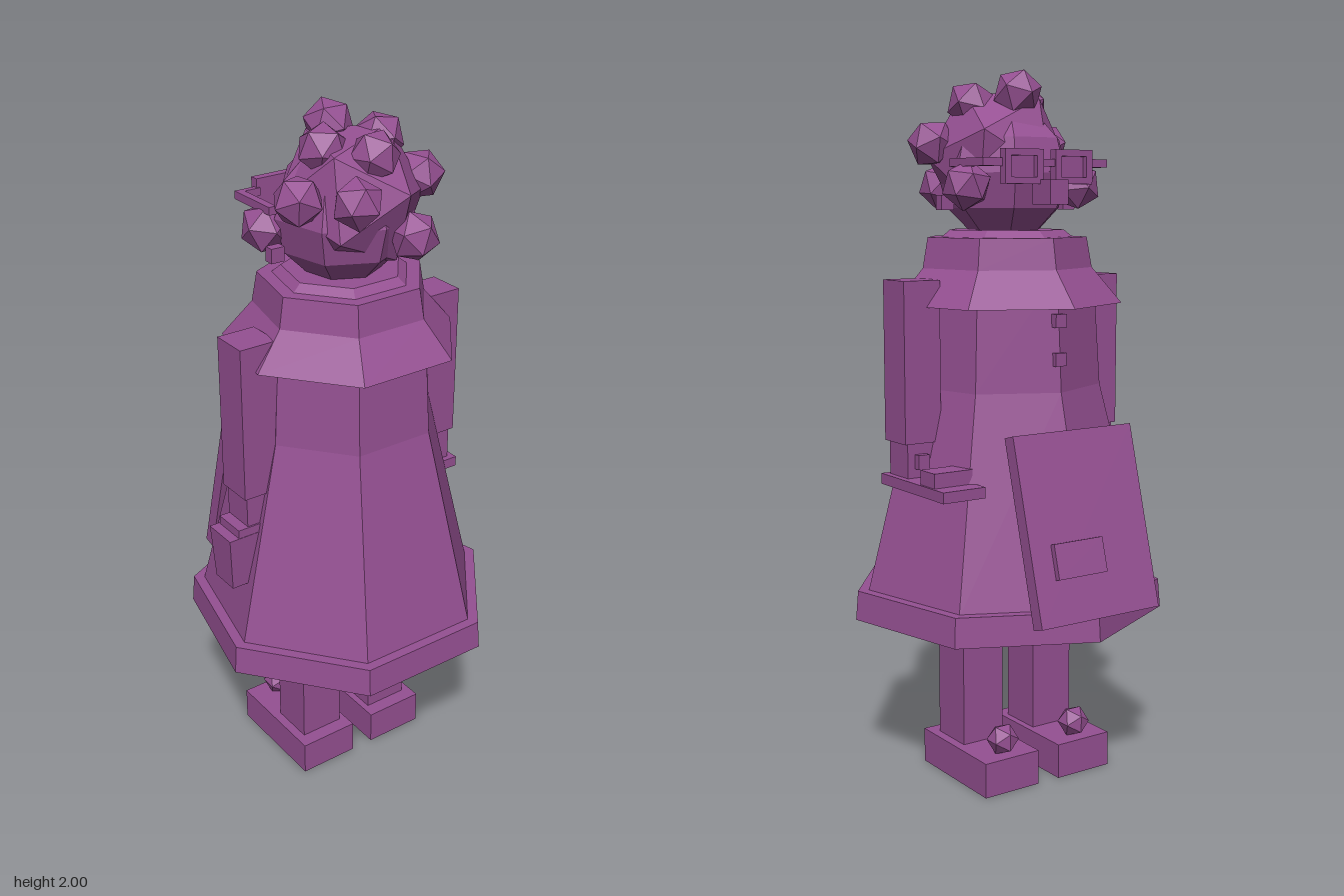
import * as THREE from 'three';

export function createModel() {
  const model = new THREE.Group();
  const plum = new THREE.MeshStandardMaterial({ color: 0x955092 });
  plum.name = 'plum';

  const add = (name, geometry, x, y, z, parent = model) => {
    let g = geometry.index ? geometry.toNonIndexed() : geometry;
    g.computeVertexNormals(); // faceted normals
    const mesh = new THREE.Mesh(g, plum);
    mesh.name = name;
    mesh.position.set(x, y, z);
    parent.add(mesh);
    return mesh;
  };
  // Box given by its x, y and z ranges
  const box = (name, [x0, x1], [y0, y1], [z0, z1], parent) =>
    add(name, new THREE.BoxGeometry(x1 - x0, y1 - y0, z1 - z0), (x0 + x1) / 2, (y0 + y1) / 2, (z0 + z1) / 2, parent);
  // Seven-sided ring with one corner toward the face side (-z)
  const ring = (name, rTop, rBottom, y0, y1) =>
    add(name, new THREE.CylinderGeometry(rTop, rBottom, y1 - y0, 7, 1, false, Math.PI), 0, (y0 + y1) / 2, 0.025);

  // Dress and cape
  ring('hem', 0.446, 0.453, 0.475, 0.558);
  ring('skirt', 0.27, 0.416, 0.55, 1.13);
  ring('bodice', 0.25, 0.27, 1.13, 1.45);
  ring('capeFlare', 0.245, 0.33, 1.36, 1.46);
  ring('capeShoulders', 0.23, 0.245, 1.46, 1.545);
  ring('collar', 0.165, 0.19, 1.545, 1.565);
  for (const y of [1.22, 1.325]) box('button', [-0.018, 0.018], [y - 0.018, y + 0.018], [-0.245, -0.205]);

  // Legs, shoes and pompoms
  for (const s of [-1, 1]) {
    const span = (a, b) => (s > 0 ? [a, b] : [-b, -a]);
    box('leg', span(0.055, 0.188), [0.09, 0.49], [-0.04, 0.092]);
    box('shoe', span(0.035, 0.215), [0, 0.1], [-0.195, 0.135]);
    add('pompom', new THREE.IcosahedronGeometry(0.046, 0), s * 0.125, 0.138, -0.145);
    // Arms and hands
    box('arm', span(0.25, 0.363), [0.99, 1.433], [-0.028, 0.083]);
    box('hand', span(0.262, 0.353), [0.885, 0.99], [-0.022, 0.075]);
    box('thumb', span(0.295, 0.33), [0.92, 0.96], [-0.042, -0.02]);
    // Earrings and spectacles
    box('earring', span(0.185, 0.225), [1.62, 1.66], [0, 0.028]);
    box('spectacleArm', span(0.183, 0.205), [1.735, 1.757], [-0.165, -0.01]);
    const rim = new THREE.Shape([[-0.062, -0.046], [0.062, -0.046], [0.062, 0.046], [-0.062, 0.046]].map(p => new THREE.Vector2(...p)));
    rim.holes.push(new THREE.Path([[-0.042, -0.028], [-0.042, 0.028], [0.042, 0.028], [0.042, -0.028]].map(p => new THREE.Vector2(...p))));
    add('spectacleRim', new THREE.ExtrudeGeometry(rim, { depth: 0.025, bevelEnabled: false }), s * 0.082, 1.735, -0.188);
    box('lens', span(0.035, 0.13), [1.7, 1.77], [-0.172, -0.163]);
    box('spectacleHinge', span(0.135, 0.205), [1.735, 1.757], [-0.175, -0.158]);
  }
  box('spectacleBridge', [-0.025, 0.025], [1.735, 1.755], [-0.184, -0.165]);
  box('nose', [-0.03, 0.03], [1.635, 1.7], [-0.232, -0.15]);

  // Tray carried in the left hand
  box('tray', [0.24, 0.372], [0.865, 0.895], [-0.235, 0.093]);
  box('trayItem', [0.245, 0.365], [0.895, 0.935], [-0.18, -0.108]);

  // Bag carried in the right hand
  const bagShape = new THREE.CylinderGeometry(0.075, 0.062, 0.16, 4, 1, false, Math.PI / 4);
  add('bag', bagShape, -0.362, 0.795, 0.028);
  box('bagRim', [-0.385, -0.29], [0.875, 0.9], [-0.02, 0.08]);
  box('bagClasp', [-0.385, -0.365], [0.82, 0.86], [-0.04, -0.015]);

  // Tilted apron panel with a pocket
  const apron = new THREE.Group();
  apron.name = 'apron';
  apron.position.set(0, 0.785, -0.348);
  apron.rotation.x = 0.268;
  model.add(apron);
  box('apronPanel', [-0.197, 0.197], [-0.255, 0.255], [-0.02, 0.02], apron);
  box('apronPocket', [-0.03, 0.13], [-0.135, -0.04], [-0.036, -0.018], apron);

  // Head and hair
  const head = new THREE.SphereGeometry(0.19, 7, 6);
  head.rotateY(Math.PI / 2);
  add('head', head, 0, 1.72, 0.025);
  const hair = add('hair', new THREE.IcosahedronGeometry(0.205, 0), 0.01, 1.765, 0.05);
  hair.rotation.set(0.35, 0.3, 0.1);
  const curls = [
    [0, 1.935, -0.037], [-0.087, 1.905, 0.06], [0.09, 1.908, 0.06], [0.005, 1.895, 0.155],
    [-0.185, 1.685, -0.062], [0.185, 1.685, -0.062], [-0.19, 1.8, 0.1], [0.195, 1.8, 0.098],
    [-0.09, 1.805, 0.215], [0.09, 1.685, 0.215],
  ];
  curls.forEach(([x, y, z], i) => {
    const curl = add('curl', new THREE.IcosahedronGeometry(0.069, 0), x, y, z);
    curl.rotation.set(0.55 + i * 0.4, i * 0.7, i * 0.3);
  });

  return model;
}
